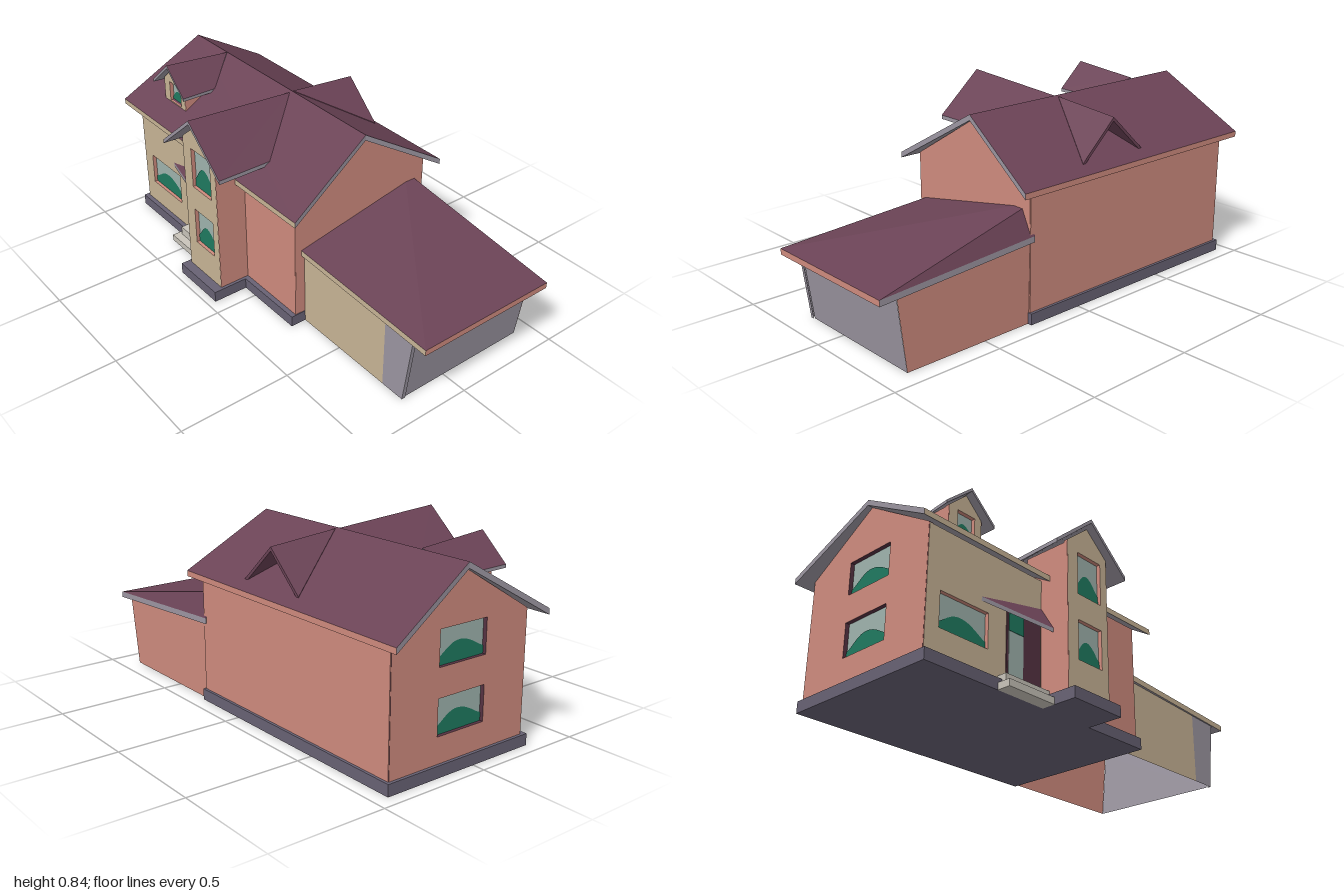
import * as THREE from 'three';

const mat = (name, color) => new THREE.MeshStandardMaterial({ name, color, side: THREE.DoubleSide });

export function createModel() {
  const house = new THREE.Group();
  house.name = 'house';
  const M = {
    brick: mat('salmon brick', 0xcf8b7e), tan: mat('tan plaster', 0xc8b496),
    roof: mat('plum roof', 0x6b4356), trim: mat('grey trim', 0x9c96a1),
    base: mat('slate foundation', 0x686274), step: mat('pale stone', 0xc9c4ba),
    glass: mat('pale glass', 0x9fb3ad), curtain: mat('teal curtain', 0x1f7a60),
    reveal: mat('dark plum', 0x563242),
  };

  const add = (name, geo, material, parent = house) => {
    const mesh = new THREE.Mesh(geo, material);
    mesh.name = name;
    parent.add(mesh);
    return mesh;
  };

  // box given by its minimum and maximum corners
  const box = (name, [x0, y0, z0], [x1, y1, z1], material) =>
    add(name, new THREE.BoxGeometry(x1 - x0, y1 - y0, z1 - z0), material)
      .position.set((x0 + x1) / 2, (y0 + y1) / 2, (z0 + z1) / 2);

  // flat-sided geometry from a list of [polygon, materialIndex]
  function faceted(polys) {
    const pos = [], geo = new THREE.BufferGeometry();
    for (const [p, m] of polys) {
      const start = pos.length / 3;
      for (let i = 1; i < p.length - 1; i++) pos.push(...p[0], ...p[i], ...p[i + 1]);
      geo.addGroup(start, pos.length / 3 - start, m);
    }
    geo.setAttribute('position', new THREE.Float32BufferAttribute(pos, 3));
    geo.computeVertexNormals();
    return geo;
  }

  // roof plane with thickness; points run counter-clockwise seen from above
  function slab(name, points, thick, edges, under = M.trim) {
    const top = points.map((p) => p.slice());
    let area = 0;
    top.forEach((a, i) => {
      const b = top[(i + 1) % top.length];
      area += a[2] * b[0] - b[2] * a[0];
    });
    const low = top.map(([x, y, z]) => [x, y - thick, z]);
    const flip = (p) => (area < 0 ? p.slice().reverse() : p);
    const polys = [[flip(top), 0], [flip(low.slice().reverse()), 1]];
    top.forEach((a, i) => {
      const j = (i + 1) % top.length;
      polys.push([flip([low[i], low[j], top[j], a]), i + 2]);
    });
    add(name, faceted(polys), [M.roof, under, ...top.map((_, i) => edges[i] || M.trim)]);
  }

  // window or door filling, set back in its opening [u0, v0, u1, v1]
  function pane(g, [u0, v0, u1, v1]) {
    const w = u1 - u0, h = v1 - v0;
    add('windowGlass', new THREE.PlaneGeometry(w, h), M.glass, g)
      .position.set((u0 + u1) / 2, (v0 + v1) / 2, -0.018);
    const hill = new THREE.Shape([new THREE.Vector2(u1, v0), new THREE.Vector2(u0, v0)]);
    for (let i = 0; i <= 14; i++) {
      const t = i / 14;
      hill.lineTo(u0 + w * t, v0 + h * (0.2 + 0.42 * Math.sin(Math.PI * t) ** 2 + 0.06 * Math.sin(9 * t)));
    }
    add('windowCurtain', new THREE.ShapeGeometry(hill), M.curtain, g).position.z = -0.015;
  }

  // wall panel with openings, turned to face its side of the house
  function wall(name, outline, openings, materials, position, turn) {
    const g = new THREE.Group();
    g.name = name;
    const shape = new THREE.Shape(outline.map((p) => new THREE.Vector2(...p)));
    for (const [a, b, c, d] of openings)
      shape.holes.push(new THREE.Path([[a, b], [a, d], [c, d], [c, b]].map((p) => new THREE.Vector2(...p))));
    const geo = new THREE.ExtrudeGeometry(shape, { depth: 0.02, bevelEnabled: false });
    add(name + 'Panel', geo.translate(0, 0, -0.02), materials, g);
    openings.forEach((o) => pane(g, o));
    g.position.set(...position);
    g.rotation.y = turn;
    house.add(g);
    return g;
  }
  const LEFT = -Math.PI / 2;

  // foundation
  box('foundation', [-0.3, 0, -0.945], [0.435, 0.05, 0.27], M.base);
  box('wingFoundation', [-0.463, 0, -0.342], [-0.29, 0.05, -0.07], M.base);

  // main walls
  const gable = (s) => [[-0.275 * s, 0.05], [0.42 * s, 0.05], [0.42 * s, 0.575], [0.075 * s, 0.785], [-0.275 * s, 0.573]];
  wall('frontGableWall', gable(1), [], M.brick, [0, 0, 0.267], 0);
  wall('backGableWall', gable(-1), [[-0.185, 0.43, 0.055, 0.575], [-0.185, 0.16, 0.055, 0.31]],
    [M.brick, M.reveal], [0, 0, -0.932], Math.PI);
  box('longSideWall', [0.4, 0.05, -0.93], [0.423, 0.572, 0.266], M.brick);
  const facade = wall('entranceWall', [[-0.931, 0.05], [-0.2, 0.05], [-0.2, 0.568], [-0.931, 0.568]],
    [[-0.865, 0.16, -0.62, 0.31]], [M.tan, M.brick], [-0.278, 0, 0], LEFT);
  box('sideWallByGarage', [-0.277, 0.05, -0.2], [-0.255, 0.57, 0.266], M.brick);

  // entrance door: leaf, glazed side light and transom as thin plates
  for (const [name, u, v, w, h, m, z] of [
    ['doorLeaf', -0.43, 0.215, 0.19, 0.3, M.reveal, 0.002],
    ['doorGlass', -0.475, 0.19, 0.08, 0.23, M.glass, 0.004],
    ['doorTransom', -0.475, 0.315, 0.08, 0.08, M.curtain, 0.006],
  ]) add(name, new THREE.BoxGeometry(w, h, 0.004), m, facade).position.set(u, v, z);

  // steps
  box('lowerStep', [-0.36, 0, -0.585], [-0.28, 0.03, -0.33], M.step);
  box('upperStep', [-0.322, 0.03, -0.565], [-0.27, 0.07, -0.325], M.step);

  // wing
  wall('wingGableWall', [[-0.326, 0.05], [-0.086, 0.05], [-0.086, 0.71], [-0.206, 0.81], [-0.326, 0.71]],
    [[-0.265, 0.485, -0.125, 0.675], [-0.265, 0.195, -0.125, 0.37]], [M.tan, M.brick], [-0.42, 0, 0], LEFT);
  for (const z of [-0.328, -0.106]) box('wingSideWall', [-0.419, 0.05, z], [-0.2, 0.7, z + 0.022], M.brick);

  // back dormer
  wall('dormerGableWall', [[-0.79, 0.58], [-0.62, 0.58], [-0.62, 0.74], [-0.705, 0.82], [-0.79, 0.74]],
    [[-0.745, 0.64, -0.655, 0.735]], [M.tan, M.brick], [-0.222, 0, 0], LEFT);
  for (const z of [-0.792, -0.636]) box('dormerSideWall', [-0.221, 0.58, z], [-0.08, 0.735, z + 0.018], M.brick);

  // main roof: ridge, rake, eave, rake
  for (const [x, y, m] of [[0.46, 0.58, M.brick], [-0.325, 0.575, M.tan]])
    slab('mainRoof', [[0.075, 0.81, 0.28], [x, y, 0.33], [x, y, -1], [0.075, 0.81, -0.955]],
      0.025, [M.trim, m, M.trim, M.trim]);

  // wing, dormer and triangular side gable roofs, mirrored about their ridges
  for (const s of [-1, 1]) {
    const at = (x, y, z0, dz) => [x, y, z0 + s * dz];
    slab('wingRoof', [at(-0.455, 0.84, -0.215, 0), at(0.065, 0.805, -0.215, 0),
      at(-0.19, 0.65, -0.215, 0.206), at(-0.455, 0.656, -0.215, 0.214)], 0.018, []);
    slab('dormerRoof', [at(-0.255, 0.84, -0.705, 0), at(0.07, 0.812, -0.705, 0),
      at(-0.08, 0.718, -0.705, 0.118), at(-0.255, 0.725, -0.705, 0.128)], 0.014, []);
    slab('sideGableRoof', [at(0.41, 0.777, -0.215, 0), at(0.085, 0.806, -0.215, 0),
      at(0.41, 0.613, -0.215, 0.178)], 0.018, [M.roof, M.roof, M.roof], M.roof);
  }

  // porch roof in the corner between entrance wall and wing
  slab('porchRoof', [[-0.275, 0.445, -0.325], [-0.28, 0.365, -0.66], [-0.345, 0.332, -0.325]],
    0.018, [M.trim, M.trim, M.tan]);

  // garage walls, leaning slightly outward at the front
  const quad = (name, p, m) => add(name, faceted([[p, 0]]), [m]);
  quad('garageDoor', [[-0.21, 0, 0.88], [0.415, 0, 0.88], [0.418, 0.315, 0.92], [-0.21, 0.315, 0.92]], M.trim);
  quad('garageJamb', [[-0.228, 0, 0.885], [-0.21, 0, 0.885], [-0.21, 0.315, 0.925], [-0.228, 0.315, 0.925]], M.trim);
  quad('garageSideWall', [[0.415, 0, 0.88], [0.415, 0, 0.26], [0.42, 0.355, 0.26], [0.42, 0.315, 0.92]], M.brick);
  quad('garageEntranceWall', [[-0.228, 0, 0.26], [-0.228, 0, 0.77], [-0.228, 0.325, 0.77], [-0.228, 0.35, 0.26]], M.tan);
  quad('garagePillar', [[-0.228, 0, 0.77], [-0.228, 0, 0.885], [-0.228, 0.315, 0.925], [-0.228, 0.325, 0.77]], M.trim);

  // garage roof: three planes meeting at a point against the main gable
  const A = [-0.235, 0.333, 1], B = [0.427, 0.333, 1], C = [0.375, 0.485, 0.262];
  const C2 = [0.33, 0.485, 0.262], D = [-0.245, 0.372, 0.262], E = [0.427, 0.378, 0.245];
  slab('garageFrontRoof', [A, B, C], 0.026, [M.brick]);
  slab('garageLeftRoof', [A, C, C2, D], 0.026, [M.trim, M.trim, M.trim, M.tan]);
  slab('garageRightRoof', [B, E, C], 0.026, [M.trim]);

  return house;
}
